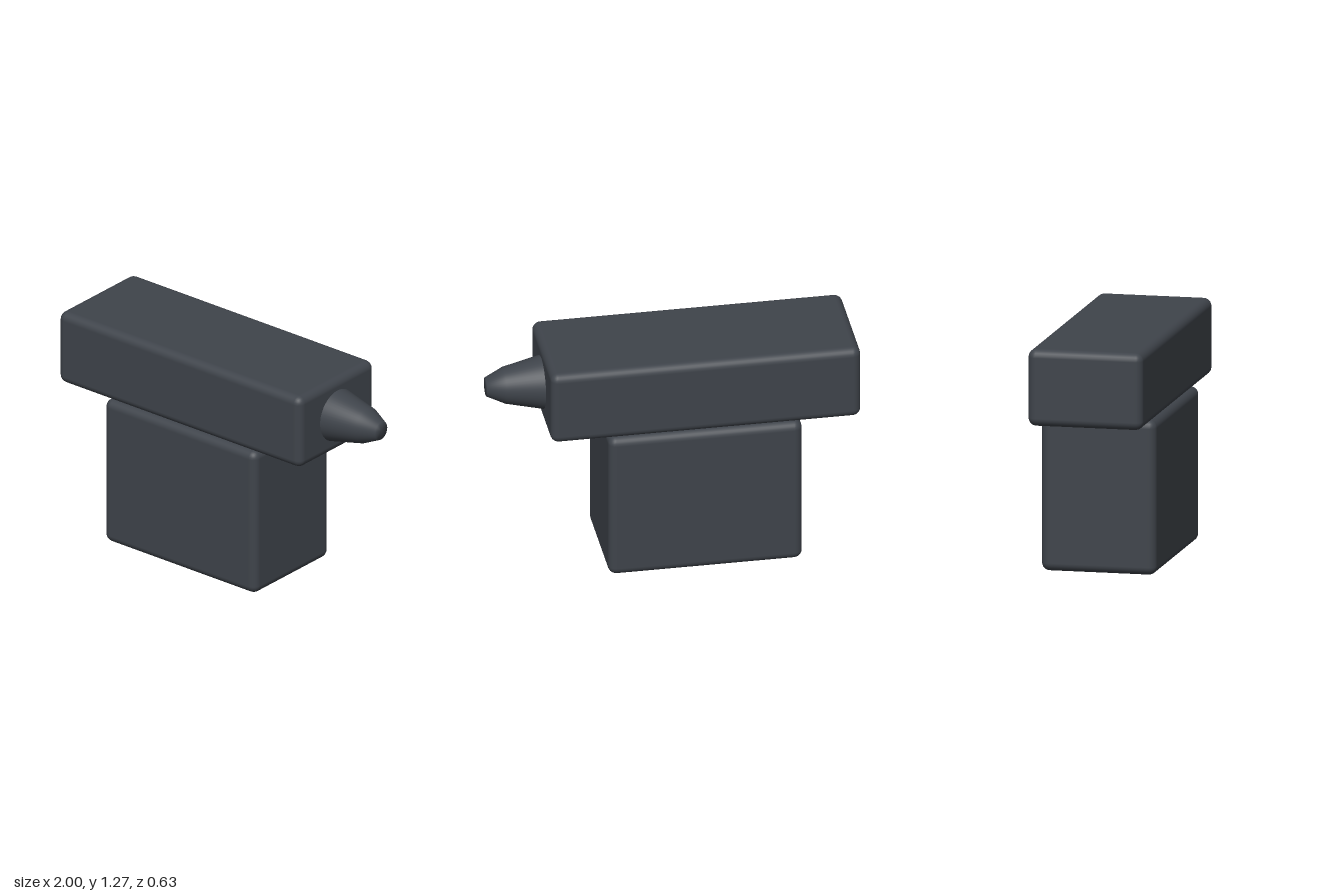
import * as THREE from 'three';
import { RoundedBoxGeometry } from 'three/addons/geometries/RoundedBoxGeometry.js';

export function createModel() {
  const model = new THREE.Group();
  model.name = 'model';
  const charcoal = new THREE.MeshStandardMaterial({ color: 0x3f444b });
  charcoal.name = 'charcoal';

  const add = (name, geometry, x, y) => {
    const mesh = new THREE.Mesh(geometry, charcoal);
    mesh.name = name;
    mesh.position.set(x, y, 0);
    model.add(mesh);
    return mesh;
  };

  // Softly rounded blocks, given by their x and y extents
  const block = (name, x0, x1, y0, y1) =>
    add(name, new RoundedBoxGeometry(x1 - x0, y1 - y0, 0.635, 3, 0.045), (x0 + x1) / 2, (y0 + y1) / 2);

  block('basePedestal', -0.68, 0.38, 0, 0.85);
  block('upperBody', -1, 0.695, 0.853, 1.275);

  // Tapered nozzle with a blunt tip, pointing along +x
  const profile = [[0.15, 0.68], [0.1, 0.9], [0.052, 1], [0, 1]]
    .map(([r, x]) => new THREE.Vector2(r, x));
  const nozzle = add('nozzle', new THREE.LatheGeometry(profile, 48), 0, 1.066);
  nozzle.rotation.z = -Math.PI / 2;

  return model;
}
